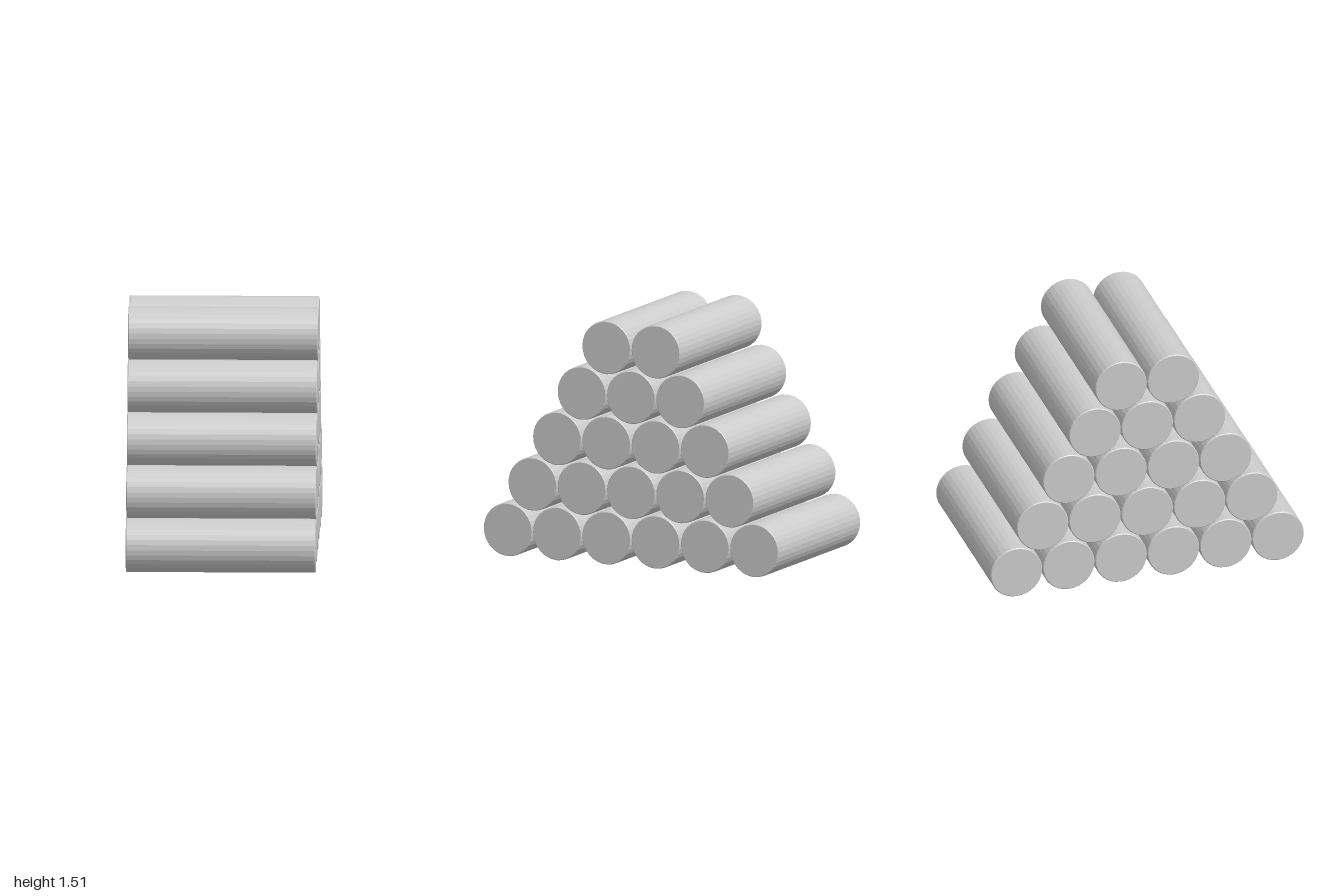
import * as THREE from 'three';

const RADIUS = 0.165;
const HALF_LENGTH = 0.58;
const BEVEL = 0.005;
const SPACING = 0.334; // between neighbours in a row
const ROW_STEP = 0.2955; // between rows
const BOTTOM_COUNT = 6;
const ROWS = 5;

// One log lying along x, with a tiny bevel at both ends
function createLogGeometry() {
  const profile = [
    [0, -HALF_LENGTH],
    [RADIUS - BEVEL, -HALF_LENGTH],
    [RADIUS, -HALF_LENGTH + BEVEL],
    [RADIUS, HALF_LENGTH - BEVEL],
    [RADIUS - BEVEL, HALF_LENGTH],
    [0, HALF_LENGTH],
  ].map(([r, y]) => new THREE.Vector2(r, y));
  return new THREE.LatheGeometry(profile, 32).rotateZ(Math.PI / 2);
}

export function createModel() {
  const model = new THREE.Group();
  model.name = 'logPile';
  const material = new THREE.MeshStandardMaterial({ color: 0xcccccc, flatShading: true });
  const geometry = createLogGeometry();

  // Each row holds one log fewer and nests in the gaps of the row below
  for (let row = 0; row < ROWS; row++) {
    const rowGroup = new THREE.Group();
    rowGroup.name = `logRow${row + 1}`;
    rowGroup.position.y = RADIUS + row * ROW_STEP;
    const count = BOTTOM_COUNT - row;
    for (let i = 0; i < count; i++) {
      const log = new THREE.Mesh(geometry, material);
      log.name = `log${i + 1}`;
      log.position.z = (i - (count - 1) / 2) * SPACING;
      rowGroup.add(log);
    }
    model.add(rowGroup);
  }
  return model;
}
